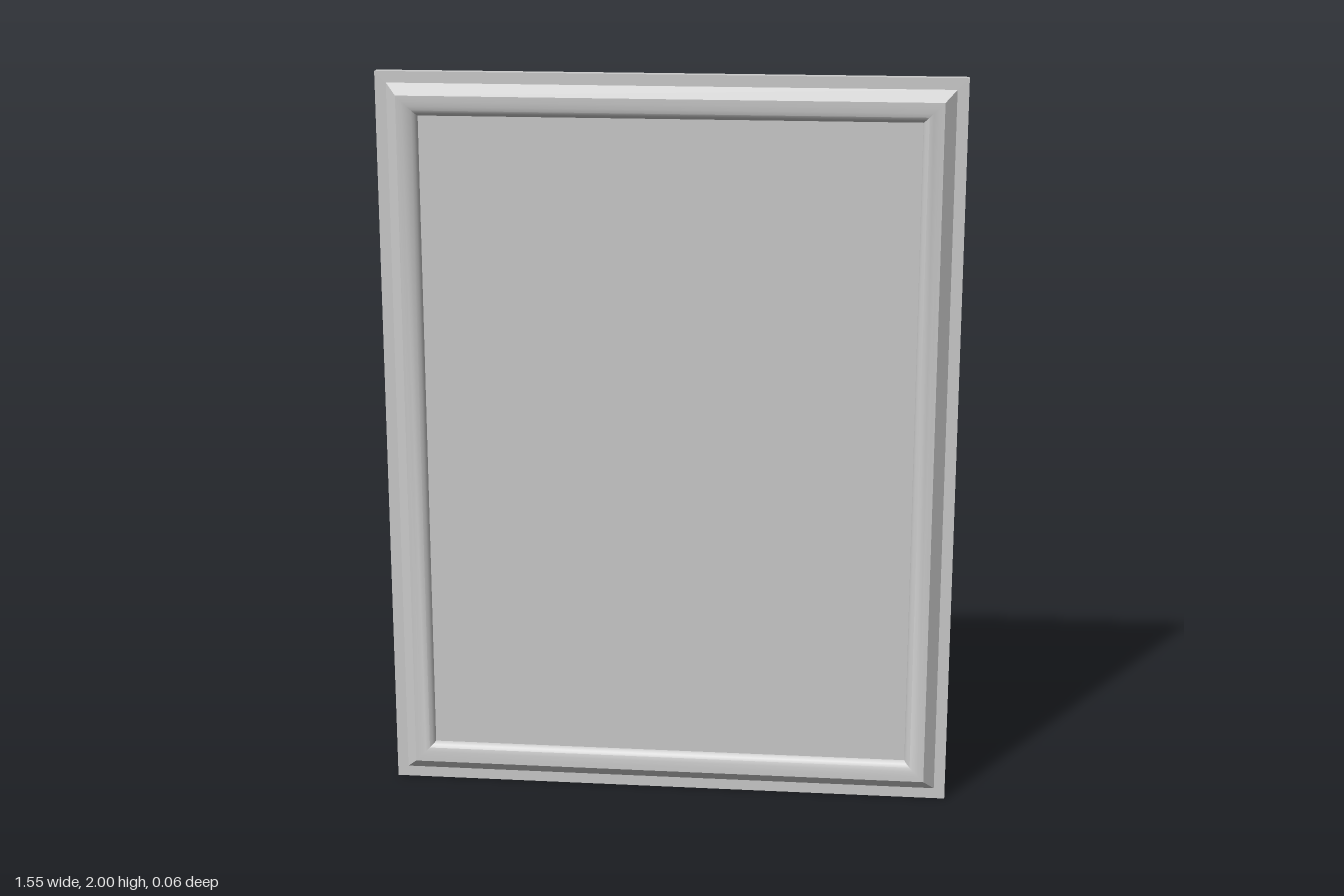
import * as THREE from 'three';
import { toCreasedNormals } from 'three/addons/utils/BufferGeometryUtils.js';

const W = 0.775, H = 1; // half width and half height of the frame

// Sweeps a closed [inset, z] profile around the rectangle with mitred corners.
function mitredFrame(profile) {
  const corners = [[-1, -1], [1, -1], [1, 1], [-1, 1]];
  const point = (c, [inset, z]) => [c[0] * (W - inset), H + c[1] * (H - inset), z];
  const positions = [];
  corners.forEach((c, i) => {
    const next = corners[(i + 1) % 4];
    profile.forEach((p, j) => {
      const q = profile[(j + 1) % profile.length];
      const a = point(c, p), b = point(next, p), d = point(next, q), e = point(c, q);
      positions.push(...a, ...b, ...d, ...a, ...d, ...e);
    });
  });
  const geometry = new THREE.BufferGeometry();
  geometry.setAttribute('position', new THREE.Float32BufferAttribute(positions, 3));
  return toCreasedNormals(geometry, 0.6);
}

export function createModel() {
  const group = new THREE.Group();
  group.name = 'framedPanel';
  const material = new THREE.MeshStandardMaterial({ color: 0xcccccc });
  const add = (name, geometry) => {
    const mesh = new THREE.Mesh(geometry, material);
    mesh.name = name;
    group.add(mesh);
    return mesh;
  };

  // Frame: flat outer ledge, bevel up to the crest, then a rounded fall to the opening
  add('frame', mitredFrame([
    [0, -0.032], [0, 0], [0.03, 0], [0.06, 0.03],
    [0.075, 0.0295], [0.088, 0.0275], [0.099, 0.024], [0.107, 0.019], [0.112, 0.013], [0.115, 0.006],
    [0.115, -0.032],
  ]));

  // Thin panel closing the opening, recessed from front and back
  const panel = add('panel', new THREE.BoxGeometry(2 * (W - 0.113), 2 * (H - 0.113), 0.01));
  panel.position.set(0, H, 0.003);

  return group;
}
